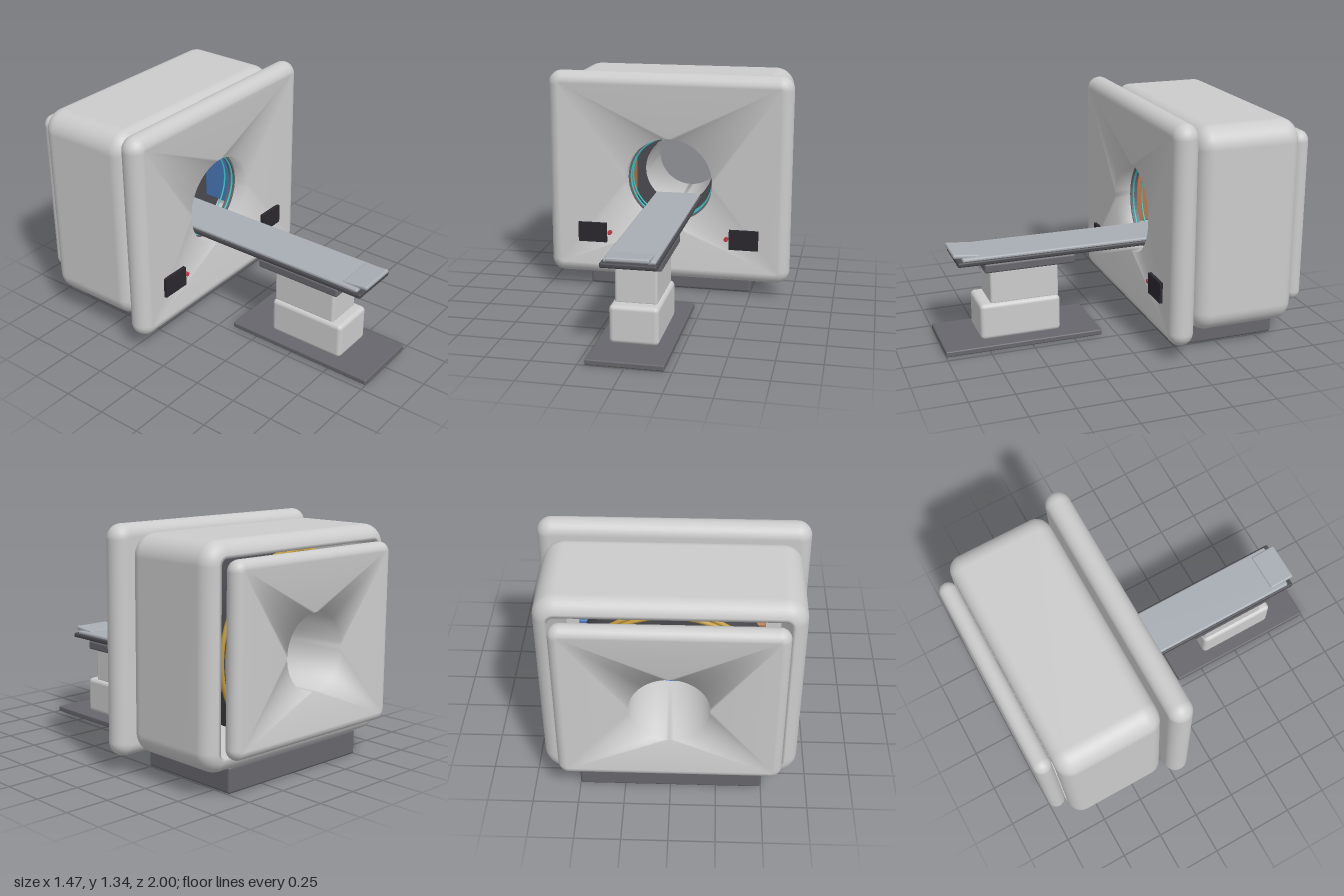
import * as THREE from 'three';
import { mergeVertices } from 'three/addons/utils/BufferGeometryUtils.js';
import { RoundedBoxGeometry } from 'three/addons/geometries/RoundedBoxGeometry.js';

const BORE_Y = 0.685, BODY_Y = 0.715, CORNER_STEPS = 14;

const material = (color = 0xcccccc) => new THREE.MeshStandardMaterial({ color, side: THREE.DoubleSide });
const white = material(), dark = material(0x66666c), rim = material(0x4a4a50);
const screen = material(0x2a282e), red = material(0xc03a48), teal = material(0x3fc4c8);
const gold = material(0xc09a40), copper = material(0xb07850), blue = material(0x4a78b8);
const topGrey = material(0xa8adb4);

function add(parent, name, geometry, mat, x = 0, y = 0, z = 0) {
  const mesh = new THREE.Mesh(geometry, mat);
  mesh.name = name;
  mesh.position.set(x, y, z);
  parent.add(mesh);
  return mesh;
}

// Rounded box given by its limits on each axis
function box(parent, name, mat, [x0, x1], [y0, y1], [z0, z1], r = 0.01) {
  const g = new RoundedBoxGeometry(x1 - x0, y1 - y0, z1 - z0, 4, r);
  return add(parent, name, g, mat, (x0 + x1) / 2, (y0 + y1) / 2, (z0 + z1) / 2);
}

// Skin over rounded-rectangle sections; a section with hx = hy = r is a circle
function loft(sections) {
  const pos = [], index = [], n = 4 * (CORNER_STEPS + 1);
  for (const { hx, hy, r, y, z } of sections) {
    for (let q = 0; q < 4; q++) {
      const sx = q === 0 || q === 3 ? 1 : -1, sy = q < 2 ? 1 : -1;
      for (let k = 0; k <= CORNER_STEPS; k++) {
        const a = (q + k / CORNER_STEPS) * Math.PI / 2;
        pos.push(sx * (hx - r) + r * Math.cos(a), y + sy * (hy - r) + r * Math.sin(a), z);
      }
    }
  }
  for (let s = 0; s < sections.length - 1; s++) {
    for (let j = 0; j < n; j++) {
      const a = s * n + j, b = s * n + (j + 1) % n;
      index.push(a, b, a + n, b, b + n, a + n);
    }
  }
  let g = new THREE.BufferGeometry();
  g.setAttribute('position', new THREE.Float32BufferAttribute(pos, 3));
  g.setIndex(index);
  g = mergeVertices(g, 1e-5);
  g.computeVertexNormals();
  return g;
}

// Sections that round an edge between two angles
function roundedEdge(hx, hy, corner, e, z, from, to, steps) {
  return Array.from({ length: steps + 1 }, (_, i) => {
    const t = from + (to - from) * i / steps, d = e * (1 - Math.cos(t));
    return { hx: hx - d, hy: hy - d, r: corner - d, y: BODY_Y, z: z + e * Math.sin(t) };
  });
}

// Padded cover whose face slopes in to a round bore
function coverGeometry(hx, hy, edge, boreR, rimZ, tubeEnd) {
  const circle = (R, z) => ({ hx: R, hy: R, r: R, y: BORE_Y, z });
  return loft([
    circle(boreR + 0.005, -edge),
    ...roundedEdge(hx, hy, edge + 0.01, edge, 0, -Math.PI / 2, Math.PI / 2, 14),
    circle(boreR, rimZ), circle(boreR, tubeEnd),
  ]);
}

// Ring about the bore axis from a closed radius/depth profile
function ring(parent, name, mat, r0, r1, z0, z1) {
  const points = [[r0, z0], [r1, z0], [r1, z1], [r0, z1], [r0, z0]].map(p => new THREE.Vector2(...p));
  const g = new THREE.LatheGeometry(points, 64).rotateX(Math.PI / 2).toNonIndexed();
  g.computeVertexNormals();
  return add(parent, name, g, mat, 0, BORE_Y, 0);
}

function buildGantry() {
  const gantry = new THREE.Group();
  gantry.name = 'gantry';
  box(gantry, 'gantryBase', dark, [-0.5, 0.5], [0, 0.145], [-0.86, -0.24], 0.015);

  // Open housing with rolled-in front and back edges
  const e = 0.085, hx = 0.685, hy = 0.585, H = Math.PI / 2;
  const shell = [
    ...roundedEdge(hx, hy, 0.12, e, -0.9 + e, -H, 0, 8),
    ...roundedEdge(hx, hy, 0.12, e, -0.3 - e, 0, H, 8),
  ];
  add(gantry, 'housing', loft([...shell, shell[0]]), white);

  add(gantry, 'frontCover', coverGeometry(0.735, 0.625, 0.07, 0.265, 0.035, -0.09), white, 0, 0, -0.21);
  const back = add(gantry, 'backCover', coverGeometry(0.597, 0.5, 0.05, 0.21, 0.025, -0.43), white, 0, 0, -0.95);
  back.rotation.y = Math.PI;

  // Bore trim and inner machinery
  add(gantry, 'boreLight', new THREE.TorusGeometry(0.252, 0.006, 8, 72), teal, 0, BORE_Y, -0.285);
  add(gantry, 'innerBoreLight', new THREE.TorusGeometry(0.252, 0.005, 8, 72), teal, 0, BORE_Y, -0.34);
  ring(gantry, 'drum', rim, 0.212, 0.5, -0.8, -0.52);
  ring(gantry, 'boreTrim', dark, 0.255, 0.27, -0.31, -0.27);
  for (const z of [-0.82, -0.86]) {
    add(gantry, 'coil', new THREE.TorusGeometry(0.52, 0.012, 8, 72), gold, 0, BORE_Y, z);
  }
  box(gantry, 'generator', copper, [-0.5, -0.26], [0.5, 0.88], [-0.5, -0.31]);
  box(gantry, 'powerUnit', blue, [0.26, 0.5], [0.5, 0.88], [-0.5, -0.31]);
  box(gantry, 'lowerUnit', blue, [-0.2, 0.2], [0.24, 0.42], [-0.5, -0.32]);

  // Control screens and stop buttons
  for (const s of [-1, 1]) {
    add(gantry, 'controlScreen', new THREE.BoxGeometry(0.175, 0.12, 0.02), screen, s * 0.4625, 0.36, -0.143);
    const button = add(gantry, 'stopButton', new THREE.CylinderGeometry(0.013, 0.013, 0.025, 20), red, s * 0.357, 0.36, -0.147);
    button.rotation.x = Math.PI / 2;
  }
  return gantry;
}

function buildTable() {
  const table = new THREE.Group();
  table.name = 'patientTable';
  box(table, 'floorPlate', dark, [-0.21, 0.21], [0, 0.033], [0.083, 1], 0.008);
  box(table, 'lowerPedestal', white, [-0.135, 0.135], [0.035, 0.25], [0.31, 0.78], 0.025);
  box(table, 'upperPedestal', white, [-0.116, 0.116], [0.24, 0.455], [0.315, 0.715], 0.015);
  box(table, 'cradleSupport', dark, [-0.148, 0.148], [0.443, 0.497], [0.22, 0.75], 0.012);
  box(table, 'tableRail', rim, [-0.152, 0.152], [0.497, 0.525], [-0.5, 0.9], 0.01);
  box(table, 'tableTop', topGrey, [-0.14, 0.14], [0.515, 0.541], [-0.5, 0.87], 0.01);
  const rest = box(table, 'headRest', topGrey, [-0.116, 0.116], [0.532, 0.556], [0.765, 0.918], 0.01);
  rest.rotation.x = -0.1;
  return table;
}

export function createModel() {
  const model = new THREE.Group();
  model.name = 'bodyScanner';
  model.add(buildGantry(), buildTable());
  return model;
}
